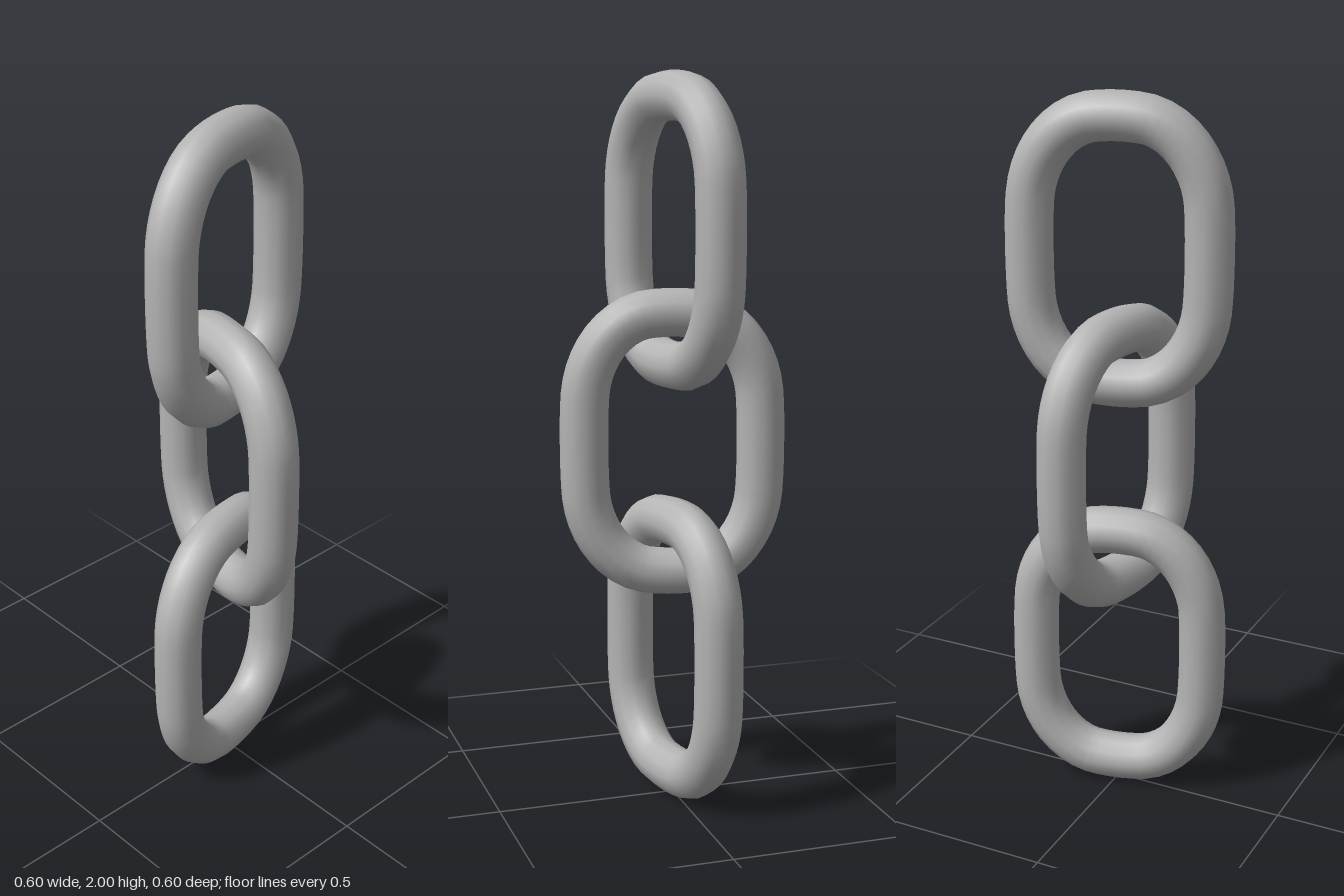
import * as THREE from 'three';

const TUBE = 0.066;   // rod radius
const HALF_W = 0.24;  // half width of the rod's centre line
const HALF_H = 0.357; // half height of the rod's centre line
const CORNER_X = 0.2;
const CORNER_Y = 0.25;

// Centre line of one link: straight sides joined by elliptical corners
function linkPath() {
  const points = [];
  const steps = 6;
  for (let corner = 0; corner < 4; corner++) {
    const sx = corner === 0 || corner === 3 ? 1 : -1;
    const sy = corner < 2 ? 1 : -1;
    for (let i = 0; i <= steps; i++) {
      const a = (corner + i / steps) * Math.PI / 2;
      points.push(new THREE.Vector3(
        sx * (HALF_W - CORNER_X) + CORNER_X * Math.cos(a),
        sy * (HALF_H - CORNER_Y) + CORNER_Y * Math.sin(a),
        0
      ));
    }
  }
  return new THREE.CatmullRomCurve3(points, true);
}

export function createModel() {
  const group = new THREE.Group();
  group.name = 'chain';

  const steel = new THREE.MeshStandardMaterial({ color: 0xb4b4b4 });
  steel.name = 'steel grey';

  const geometry = new THREE.TubeGeometry(linkPath(), 64, TUBE, 12, true);

  // Three interlocking links, alternately turned a quarter circle
  const twist = -0.218;
  const links = [
    ['topLink', 1.577, twist - Math.PI / 2 + 2 * -twist],
    ['middleLink', 1.003, twist],
    ['bottomLink', 0.427, twist - Math.PI / 2 + 2 * -twist],
  ];
  for (const [name, y, turn] of links) {
    const link = new THREE.Mesh(geometry, steel);
    link.name = name;
    link.position.y = y;
    link.rotation.y = turn;
    group.add(link);
  }
  return group;
}
